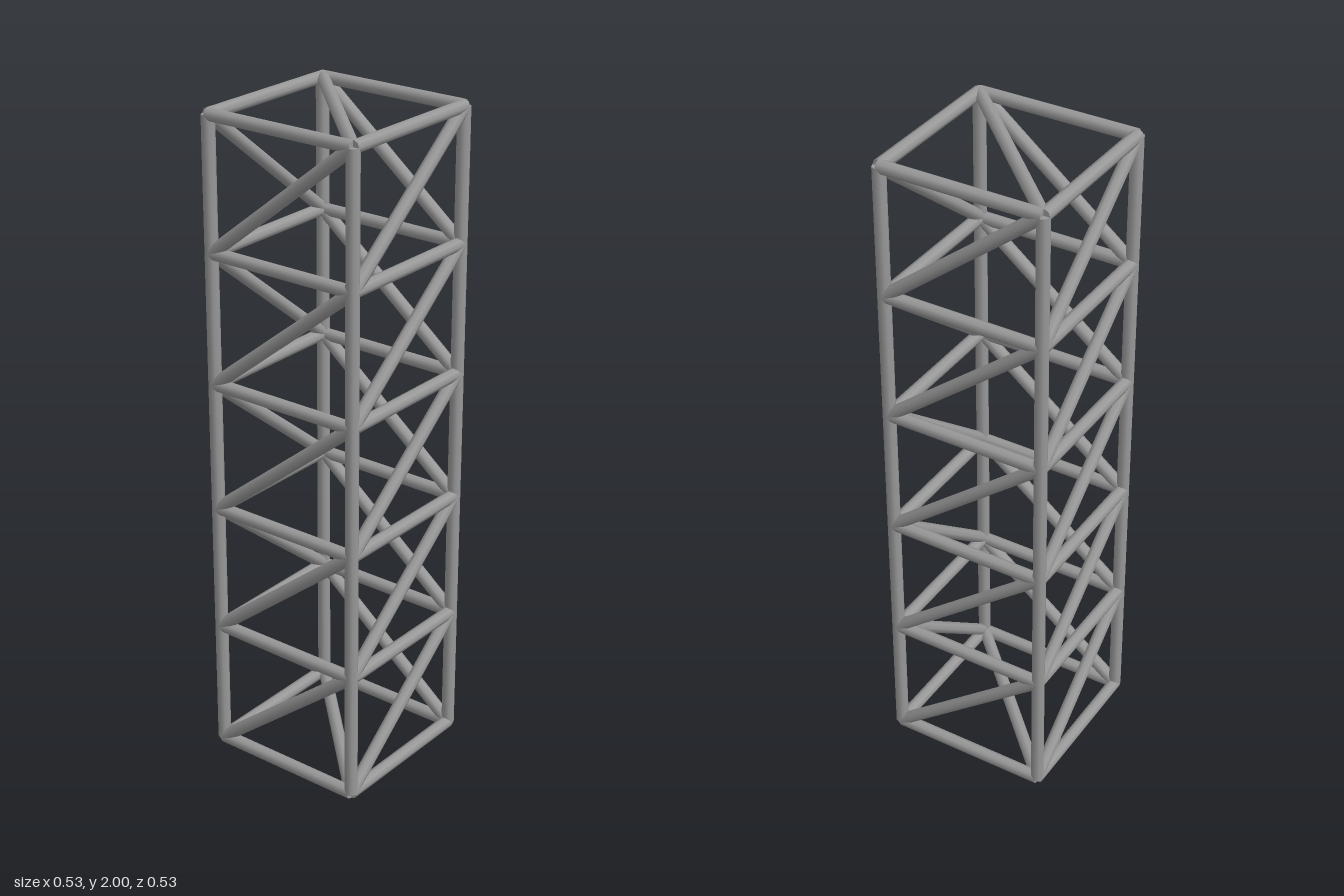
import * as THREE from 'three';

const R = 0.0196;              // tube radius
const HALF = 0.2451;           // half the spacing of the legs
const BAYS = 5;
const BAY = (2 - 2 * R) / BAYS;

const material = new THREE.MeshStandardMaterial({ color: 0x999999 });
const UP = new THREE.Vector3(0, 1, 0);

// Closed eight-sided tube from a to b
function strut(name, a, b) {
  const dir = b.clone().sub(a);
  const mesh = new THREE.Mesh(new THREE.CylinderGeometry(R, R, dir.length(), 8), material);
  mesh.name = name;
  mesh.position.copy(a).add(b).multiplyScalar(0.5);
  mesh.quaternion.setFromUnitVectors(UP, dir.normalize());
  return mesh;
}

// Corner order: front left, back left, back right, front right
const CORNERS = [[1, 1], [1, -1], [-1, -1], [-1, 1]];
const node = (corner, level) => {
  const [x, z] = CORNERS[corner % 4];
  return new THREE.Vector3(x * HALF, R + level * BAY, z * HALF);
};

export function createModel() {
  const tower = new THREE.Group();
  tower.name = 'latticeTower';

  for (let c = 0; c < 4; c++) {
    tower.add(strut('leg', node(c, 0), node(c, BAYS)));

    // Horizontal rails at every level
    for (let l = 0; l <= BAYS; l++) tower.add(strut('rail', node(c, l), node(c + 1, l)));

    // One diagonal per bay, winding upwards around the tower
    for (let l = 0; l < BAYS; l++) tower.add(strut('faceBrace', node(c, l), node(c + 1, l + 1)));
  }

  // Diagonals across the bottom and top frames
  for (const l of [0, BAYS]) tower.add(strut('frameBrace', node(3, l), node(1, l)));

  return tower;
}
